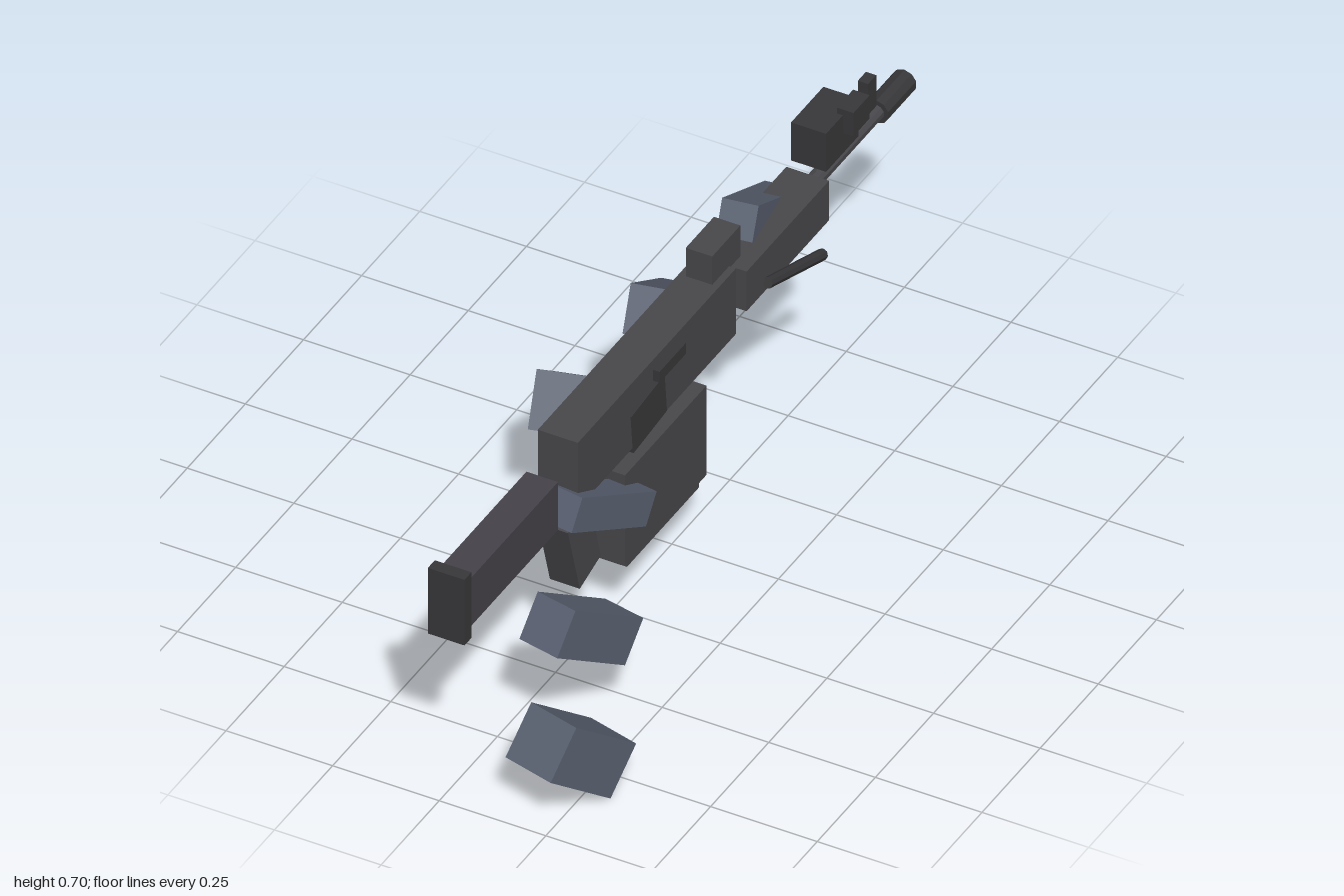
import * as THREE from 'three';

const mat = (color) => new THREE.MeshStandardMaterial({ color, flatShading: true });

export function createModel() {
  const model = new THREE.Group();
  const metal = mat(0x48474b), dark = mat(0x38383a), stockMat = mat(0x45424a), sleeve = mat(0x596070);

  const add = (name, geometry, material) => {
    const mesh = new THREE.Mesh(geometry, material);
    mesh.name = name;
    model.add(mesh);
    return mesh;
  };

  // Box given by its limits on each axis
  const block = (name, material, [x0, x1], [y0, y1], [z0, z1], tilt = 0) => {
    const mesh = add(name, new THREE.BoxGeometry(x1 - x0, y1 - y0, z1 - z0), material);
    mesh.position.set((x0 + x1) / 2, (y0 + y1) / 2, (z0 + z1) / 2);
    mesh.rotation.x = tilt;
    return mesh;
  };

  // Cylinder between two points
  const rod = (name, material, a, b, radius, sides) => {
    const from = new THREE.Vector3(...a), to = new THREE.Vector3(...b);
    const geometry = new THREE.CylinderGeometry(radius, radius, from.distanceTo(to), sides);
    geometry.rotateX(Math.PI / 2);
    const mesh = add(name, geometry, material);
    mesh.position.copy(from).lerp(to, 0.5);
    mesh.lookAt(to);
  };

  // Box whose length runs between two points
  const limb = (name, a, b, width, height) => {
    const from = new THREE.Vector3(...a), to = new THREE.Vector3(...b);
    const mesh = add(name, new THREE.BoxGeometry(width, height, from.distanceTo(to)), sleeve);
    mesh.position.copy(from).lerp(to, 0.5);
    mesh.lookAt(to);
  };

  // Stock and body
  block('buttPlate', dark, [-0.043, 0.043], [0.398, 0.567], [0.94, 0.97]);
  block('stock', stockMat, [-0.037, 0.037], [0.42, 0.544], [0.557, 0.95]);
  block('receiver', metal, [-0.047, 0.047], [0.435, 0.604], [-0.19, 0.49]);
  block('handguard', metal, [-0.05, 0.05], [0.468, 0.57], [-0.584, -0.23]);
  block('grip', metal, [-0.035, 0.035], [0.213, 0.397], [0.393, 0.487], 0.28);
  block('triggerGuard', dark, [-0.02, 0.02], [0.402, 0.437], [0.23, 0.33]);

  // Feed and controls
  block('magazineBox', metal, [-0.058, 0.058], [0.173, 0.403], [-0.043, 0.307]);
  block('magazineBase', metal, [-0.053, 0.053], [0.154, 0.18], [-0.02, 0.29]);
  block('feedTray', dark, [-0.049, 0.049], [0.429, 0.529], [0.115, 0.259], 0.1);
  block('chargingHandle', dark, [0.04, 0.062], [0.55, 0.578], [0.053, 0.166]);
  block('sidePlate', dark, [-0.068, -0.04], [0.483, 0.543], [0.1, 0.175]);

  // Sights
  block('rearSight', metal, [-0.031, 0.031], [0.598, 0.677], [-0.238, -0.117]);
  block('sightHousing', dark, [-0.041, 0.041], [0.587, 0.685], [-0.727, -0.588]);
  block('sightKnob', dark, [0.027, 0.066], [0.64, 0.7], [-0.73, -0.66]);
  block('frontSight', dark, [-0.012, 0.012], [0.568, 0.648], [-0.857, -0.822]);

  // Barrel and muzzle
  rod('barrel', metal, [0, 0.534, -0.56], [0, 0.534, -0.9], 0.018, 10);
  rod('muzzle', dark, [0, 0.534, -0.88], [0, 0.534, -1], 0.029, 10);

  // Folded support legs
  for (const side of [-1, 1]) {
    rod('supportLeg', dark, [side * 0.057, 0.494, -0.305], [side * 0.057, 0.41, -0.543], 0.013, 8);
  }

  // Arms: the second is mirrored, raised and moved back along the barrel
  const segments = [
    ['hand', [0.027, 0.45, 0.524], [0.064, 0.314, 0.272], 0.08, 0.078],
    ['forearm', [0.1125, 0.3245, 0.741], [0.1565, 0.1825, 0.53], 0.102, 0.106],
    ['upperArm', [0.208, 0.19, 0.944], [0.254, 0.052, 0.771], 0.128, 0.126],
  ];
  for (const [side, dy, dz] of [[1, 0, 0], [-1, 0.158, -0.855]]) {
    const place = ([x, y, z]) => [side * x, y + dy, z + dz];
    for (const [name, a, b, width, height] of segments) {
      limb((side > 0 ? 'left ' : 'right ') + name, place(a), place(b), width, height);
    }
  }

  return model;
}
